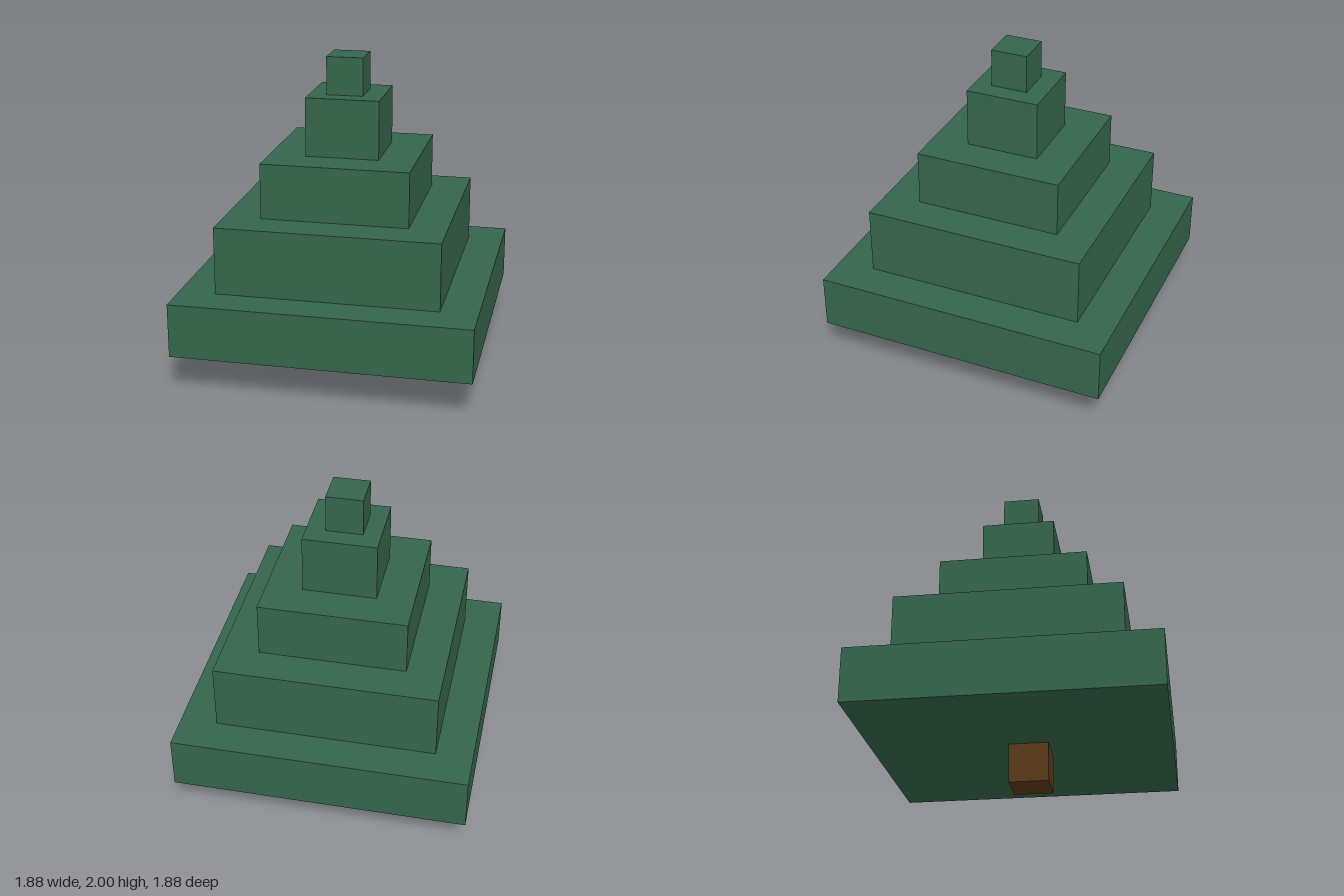
import * as THREE from 'three';

export function createModel() {
  const tree = new THREE.Group();
  tree.name = 'blockTree';
  const foliage = new THREE.MeshStandardMaterial({ color: 0x35654b });
  const bark = new THREE.MeshStandardMaterial({ color: 0x5a3a18 });

  // Square block between two heights, centred on (x, z)
  function block(name, width, bottom, top, material, x = 0, z = 0) {
    const mesh = new THREE.Mesh(new THREE.BoxGeometry(width, top - bottom, width), material);
    mesh.name = name;
    mesh.position.set(x, (bottom + top) / 2, z);
    tree.add(mesh);
  }

  // Trunk, set slightly forward
  block('trunk', 0.25, 0, 0.247, bark, 0, 0.05);

  // Stepped foliage, widest tier first
  const widths = [1.88, 1.412, 0.94, 0.47];
  const levels = [0.247, 0.592, 1.025, 1.38, 1.757];
  widths.forEach((w, i) => block(`foliageTier${i + 1}`, w, levels[i], levels[i + 1], foliage));

  // Small tip block, a touch off centre
  block('treeTip', 0.235, 1.757, 2, foliage, -0.006, 0.005);

  return tree;
}
